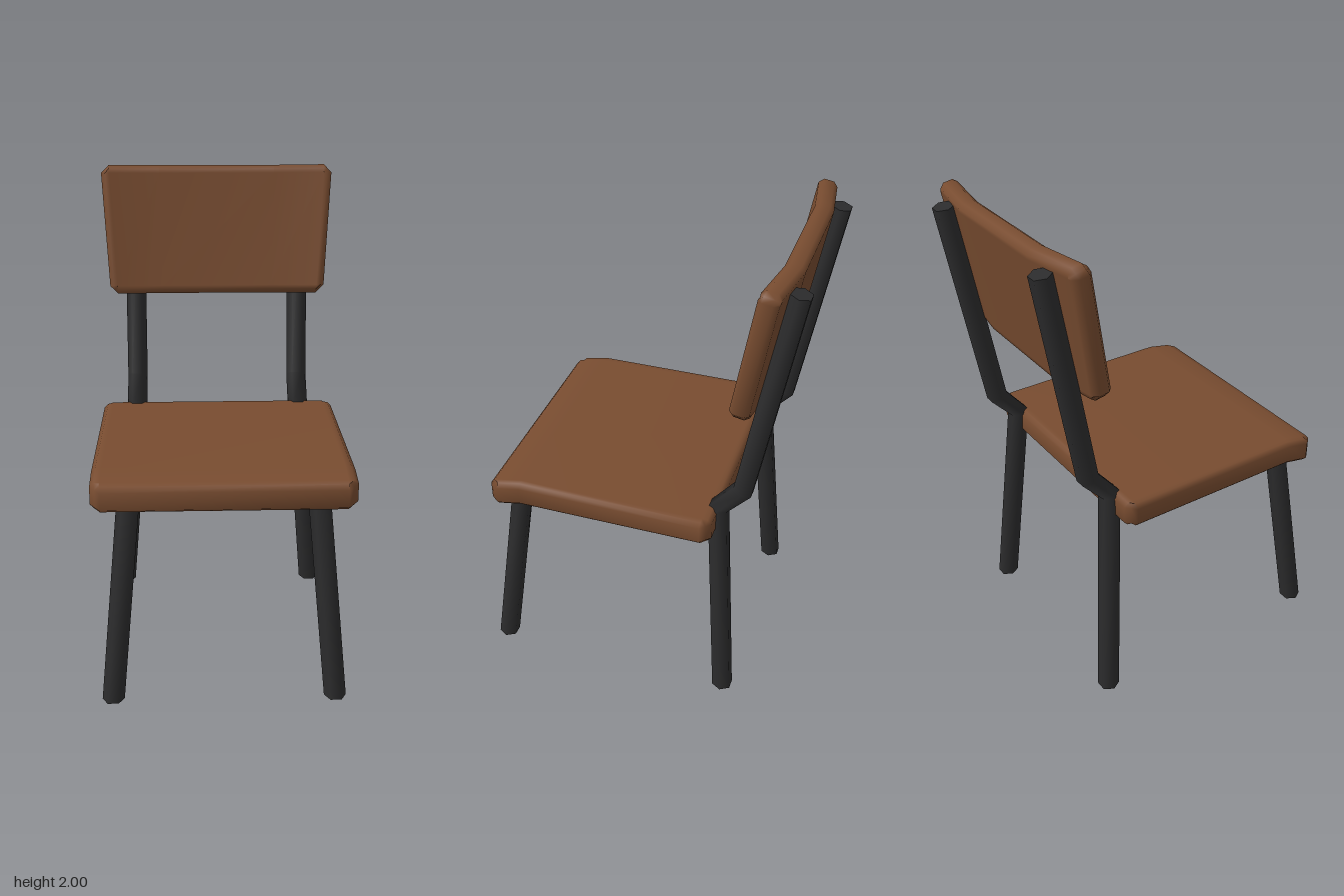
import * as THREE from 'three';
import { mergeVertices } from 'three/addons/utils/BufferGeometryUtils.js';

const wood = new THREE.MeshStandardMaterial({ color: 0x784c30 });
wood.name = 'brownWood';
const metal = new THREE.MeshStandardMaterial({ color: 0x2c2c2d });
metal.name = 'blackMetal';

// Bevelled slab with grid lines at us and vs, chamfered corners, and a bend rule (u, v, t) => [x, y, z]
function slab(name, us, vs, thick, bevel, chamfer, bend) {
  const nu = us.length - 1, nv = vs.length - 1;
  const ts = [-thick / 2, -thick / 2 + bevel, thick / 2 - bevel, thick / 2];
  let geo = new THREE.BoxGeometry(nu, nv, 3, nu, nv, 3);
  const pos = geo.attributes.position;
  for (let i = 0; i < pos.count; i++) {
    const a = Math.round(pos.getX(i) + nu / 2);
    const b = Math.round(pos.getY(i) + nv / 2);
    const c = Math.round(pos.getZ(i) + 1.5);
    const su = a === 0 ? 1 : a === nu ? -1 : 0;
    const sv = b === 0 ? 1 : b === nv ? -1 : 0;
    const inset = (su && sv ? chamfer / 2 : 0) + (c === 0 || c === 3 ? bevel : 0);
    pos.setXYZ(i, ...bend(us[a] + su * inset, vs[b] + sv * inset, ts[c]));
  }
  geo.deleteAttribute('normal');
  geo.deleteAttribute('uv');
  geo = mergeVertices(geo);
  geo.computeVertexNormals();
  const mesh = new THREE.Mesh(geo, wood);
  mesh.name = name;
  return mesh;
}

// Six-sided tube through rings [x, y, z, tilt]; tilt turns each ring about the x axis
function tube(name, rings) {
  const sides = 6, r = 0.045, p = [], idx = [];
  const addRing = ([x, y, z, tilt]) => {
    for (let i = 0; i < sides; i++) {
      const a = (i / sides) * Math.PI * 2, d = r * Math.sin(a);
      p.push(x + r * Math.cos(a), y - d * Math.sin(tilt), z + d * Math.cos(tilt));
    }
  };
  rings.forEach(addRing);
  for (let k = 0; k < rings.length - 1; k++) {
    for (let i = 0; i < sides; i++) {
      const a = k * sides + i, b = k * sides + (i + 1) % sides;
      idx.push(a, a + sides, b, b, a + sides, b + sides);
    }
  }
  // end caps with their own corners, so the rims stay sharp
  const n = rings.length * sides;
  addRing(rings[0]);
  addRing(rings[rings.length - 1]);
  for (let i = 1; i < sides - 1; i++) {
    idx.push(n, n + i, n + i + 1);
    idx.push(n + sides, n + sides + i + 1, n + sides + i);
  }
  const geo = new THREE.BufferGeometry();
  geo.setAttribute('position', new THREE.Float32BufferAttribute(p, 3));
  geo.setIndex(idx);
  geo.computeVertexNormals();
  const mesh = new THREE.Mesh(geo, metal);
  mesh.name = name;
  return mesh;
}

export function createModel() {
  const chair = new THREE.Group();
  chair.name = 'chair';

  // seat with a drooping front edge
  chair.add(slab('seat',
    [-0.52, -0.48, 0.48, 0.52], [-0.603, -0.56, -0.46, 0.31, 0.35],
    0.106, 0.017, 0.04,
    (u, v, t) => [u, 0.897 + t - 0.2 * Math.max(0, -v - 0.46), -v]));

  // backrest: leaning back, wider at the top, sides bent forward
  const lean = 0.181, height = 0.568;
  chair.add(slab('backrest',
    [-0.5, -0.465, -0.25, 0.25, 0.465, 0.5], [0, 0.035, height - 0.035, height],
    0.077, 0.018, 0.035,
    (u, v, t) => {
      const w = t + 0.14 * Math.max(0, Math.abs(u) - 0.25);
      return [
        u * (0.96 + 0.07 * v / height),
        1.434 + v * Math.cos(lean) + w * Math.sin(lean),
        -0.459 - v * Math.sin(lean) + w * Math.cos(lean),
      ];
    }));

  // legs, mirrored left and right; the rear ones carry on up as backrest posts
  for (const [side, s] of [['left', 1], ['right', -1]]) {
    chair.add(tube(side + 'FrontLeg', [
      [s * 0.452, 0, 0.613, 0],
      [s * 0.373, 0.87, 0.505, 0],
    ]));
    chair.add(tube(side + 'RearLegAndPost', [
      [s * 0.452, 0, -0.415, 0],
      [s * 0.37, 0.938, -0.347, -0.15],
      [s * 0.37, 1.05, -0.445, -0.4],
      [s * 0.37, 1.946, -0.608, -0.18],
    ]));
  }
  return chair;
}
